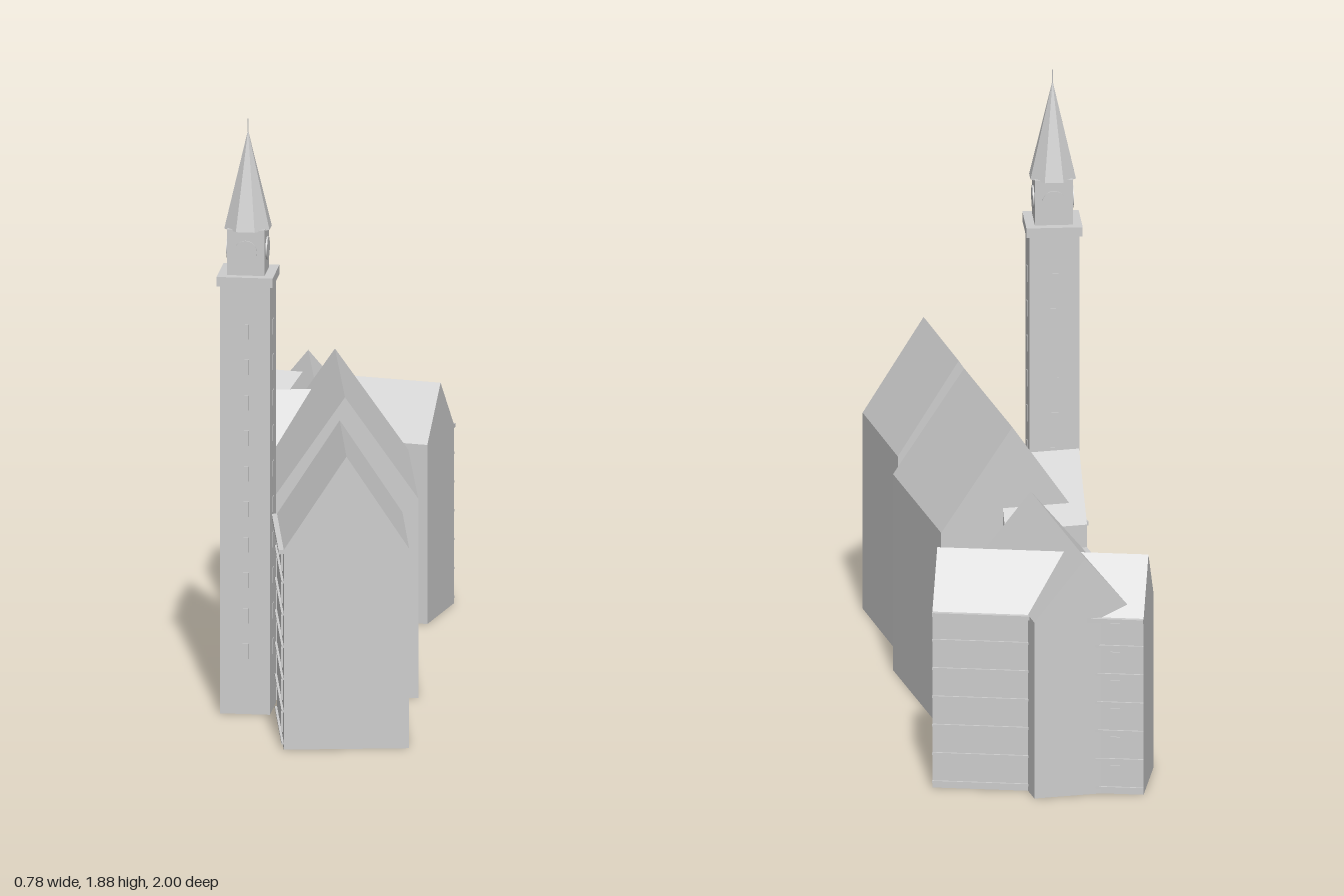
import * as THREE from 'three';

const stone = new THREE.MeshStandardMaterial({ color: 0xcccccc });
stone.name = 'pale stone';

function add(parent, name, geometry, x = 0, y = 0, z = 0) {
  const mesh = new THREE.Mesh(geometry, stone);
  mesh.name = name;
  mesh.position.set(x, y, z);
  parent.add(mesh);
  return mesh;
}

const box = (w, h, d) => new THREE.BoxGeometry(w, h, d);

// Flat-faced version of a faceted geometry
function faceted(geometry) {
  const g = geometry.toNonIndexed();
  g.computeVertexNormals();
  return g;
}

// Gabled house body, ridge along z, centred on its footprint
function gabled(width, length, eave, ridge) {
  const w = width / 2;
  const s = new THREE.Shape();
  s.moveTo(-w, 0);
  s.lineTo(w, 0);
  s.lineTo(w, eave);
  s.lineTo(0, ridge);
  s.lineTo(-w, eave);
  s.closePath();
  return new THREE.ExtrudeGeometry(s, { depth: length, bevelEnabled: false })
    .translate(0, 0, -length / 2);
}

// Storey bands, eaves ledge and window columns; local +z points outwards
function facade(parent, length, eave, columns) {
  const g = new THREE.Group();
  g.name = 'facade';
  const step = (eave - 0.02) / 6;
  for (let i = 0; i < 6; i++) {
    const y = 0.02 + i * step;
    add(g, 'storeyBand', box(length, 0.007, 0.008), 0, y, 0.003);
    for (const x of columns) {
      add(g, 'window', box(0.03, step * 0.6, 0.006), x, y + step * 0.5, 0.002);
    }
  }
  add(g, 'eavesLedge', box(length, 0.013, 0.018), 0, eave - 0.0065, 0.007);
  parent.add(g);
  return g;
}

// House with a decorated left-hand street wall
function house(parent, name, { x, z, turn, width, length, eave, ridge, columns }) {
  const g = new THREE.Group();
  g.name = name;
  g.position.set(x, 0, z);
  g.rotation.y = turn;
  add(g, 'gabledBody', gabled(width, length, eave, ridge));
  const f = facade(g, length, eave, columns);
  f.position.x = -width / 2;
  f.rotation.y = -Math.PI / 2;
  parent.add(g);
  return g;
}

function tower(parent) {
  const g = new THREE.Group();
  g.name = 'tower';
  g.position.set(-0.17, 0, 0.49);
  add(g, 'shaft', box(0.155, 1.36, 0.16), 0, 0.68, 0);
  add(g, 'parapet', box(0.174, 0.03, 0.174), 0, 1.375, 0);
  add(g, 'belfry', box(0.117, 0.145, 0.117), 0, 1.4625, 0);

  // Windows and dial on each of the four sides
  for (let side = 0; side < 4; side++) {
    const face = new THREE.Group();
    face.name = 'towerSide';
    face.rotation.y = side * Math.PI / 2;
    const out = side % 2 ? 0.0775 : 0.08;
    for (let i = 0; i < 10; i++) {
      add(face, 'towerWindow', box(0.025, 0.048, 0.004), 0, 0.2 + i * 0.113, out);
    }
    add(face, 'dial', new THREE.CylinderGeometry(0.036, 0.036, 0.008, 20).rotateX(Math.PI / 2),
      0, 1.465, 0.0595);
    g.add(face);
  }

  // Octagonal spire with a thin needle
  const spire = new THREE.CylinderGeometry(0.001, 0.076, 0.305, 8).rotateY(Math.PI / 8);
  add(g, 'spire', faceted(spire), 0, 1.6825, 0);
  add(g, 'needle', new THREE.CylinderGeometry(0.0012, 0.002, 0.05, 6), 0, 1.85, 0);
  parent.add(g);
}

export function createModel() {
  const model = new THREE.Group();
  model.name = 'terraceWithTower';

  house(model, 'frontHouse', {
    x: 0.156, z: 0.737, turn: 0.17, width: 0.387, length: 0.45,
    eave: 0.635, ridge: 0.93, columns: [0.15],
  });

  const middle = house(model, 'middleHouse', {
    x: 0.061, z: 0.05, turn: 0.175, width: 0.452, length: 0.604,
    eave: 0.635, ridge: 0.96, columns: [-0.23, -0.05],
  });
  // Cross gable over the street wall, reaching past the end wall
  const gable = add(middle, 'crossGable', gabled(0.2, 0.26, 0.635, 0.85), -0.1, 0, -0.232);
  gable.rotation.y = Math.PI / 2;

  house(model, 'rearHouse', {
    x: -0.105, z: -0.632, turn: 0.174, width: 0.325, length: 0.69,
    eave: 0.57, ridge: 0.765, columns: [],
  });

  // Transverse wing crossing the rear house, decorated on its back
  const wing = new THREE.Group();
  wing.name = 'crossWing';
  wing.position.set(-0.046, 0, -0.794);
  wing.rotation.y = -0.185;
  add(wing, 'gabledBody', gabled(0.27, 0.655, 0.57, 0.735)).rotation.y = Math.PI / 2;
  const back = facade(wing, 0.655, 0.57, [0.24]);
  back.position.z = -0.135;
  back.rotation.y = Math.PI;
  model.add(wing);

  tower(model);
  return model;
}
